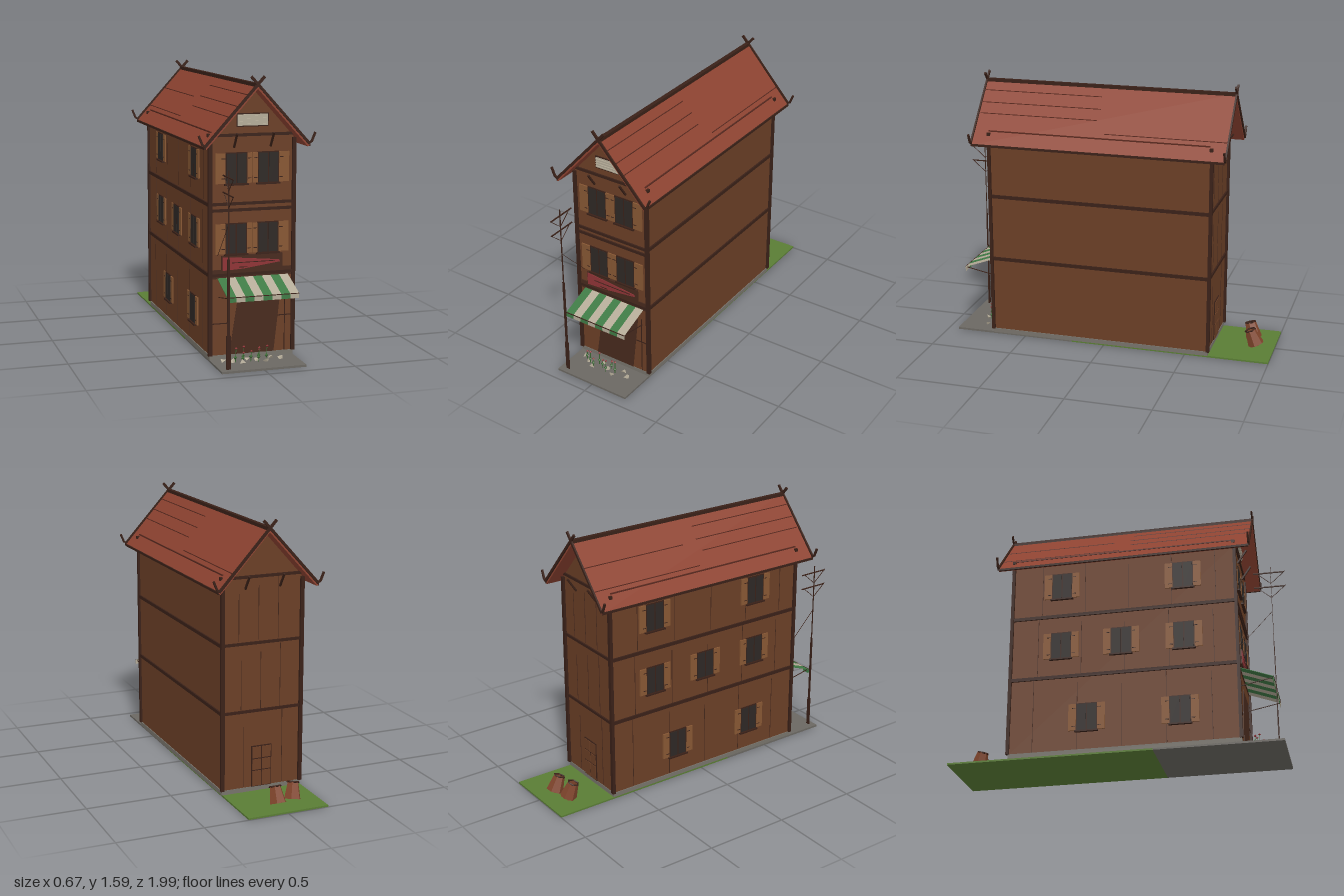
import * as THREE from 'three';

const mat = (color) => new THREE.MeshStandardMaterial({ color, flatShading: true, side: THREE.DoubleSide });
const M = {
  wall: mat(0x6b3f26), beam: mat(0x3a2118), roof: mat(0x8e4331), batten: mat(0x5a2a20), shutter: mat(0x875733),
  glass: mat(0x2e2825), stone: mat(0x77736b), grass: mat(0x5a7d35), road: mat(0x6b6862), cream: mat(0xb5ac98),
  green: mat(0x3f7a45), red: mat(0x8f3336), dark: mat(0x482a1d), leaf: mat(0x3c6a34), rust: mat(0x80452c),
};

export function createModel() {
  const root = new THREE.Group();
  root.name = 'townhouse';

  const add = (name, geo, m, parent = root) => {
    const mesh = new THREE.Mesh(geo, m);
    mesh.name = name;
    parent.add(mesh);
    return mesh;
  };
  // Box given by its extents
  const box = (name, m, x0, x1, y0, y1, z0, z1, parent = root) => {
    const b = add(name, new THREE.BoxGeometry(x1 - x0, y1 - y0, z1 - z0), m, parent);
    b.position.set((x0 + x1) / 2, (y0 + y1) / 2, (z0 + z1) / 2);
    return b;
  };
  // Straight bar between two points
  const bar = (name, m, a, b, w, d = w, parent = root) => {
    const p = new THREE.Vector3(...a), q = new THREE.Vector3(...b);
    const mesh = add(name, new THREE.BoxGeometry(w, d, p.distanceTo(q)), m, parent);
    mesh.position.copy(p).lerp(q, 0.5);
    mesh.lookAt(q);
    return mesh;
  };
  // Flat outline pushed out along z
  const plate = (name, m, pts, z0, z1, parent = root) => {
    const shape = new THREE.Shape(pts.map(([x, y]) => new THREE.Vector2(x, y)));
    const geo = new THREE.ExtrudeGeometry(shape, { depth: z1 - z0, bevelEnabled: false });
    geo.translate(0, 0, z0);
    return add(name, geo, m, parent);
  };

  // Plot of land and foundation
  box('pavement', M.road, -0.245, 0.24, 0, 0.012, 0.2, 0.935);
  box('lawn', M.grass, -0.245, 0.24, 0, 0.01, -1, 0.2);
  box('foundation', M.stone, -0.245, 0.245, 0.01, 0.036, -0.64, 0.70);

  // Walls with gables
  plate('walls', M.wall, [[-0.24, 0.035], [0.24, 0.035], [0.24, 1.245], [0, 1.513], [-0.24, 1.245]], -0.637, 0.697);

  // Corner posts and storey beams
  for (const s of [-1, 1]) {
    for (const z of [-0.64, 0.70])
      box('cornerPost', M.beam, s * 0.242 - 0.011, s * 0.242 + 0.011, 0.035, 1.24, z - 0.011, z + 0.008);
    for (const y of [0.49, 0.882])
      box('sideBeam', M.beam, s * 0.243 - 0.006, s * 0.243 + 0.006, y - 0.01, y + 0.01, -0.64, 0.70);
  }
  for (const y of [0.49, 0.85, 0.885, 1.262]) {
    box('frontBeam', M.beam, -0.24, 0.24, y - 0.008, y + 0.008, 0.69, 0.706);
    if (y !== 0.85) box('backBeam', M.beam, -0.24, 0.24, y - 0.008, y + 0.008, -0.646, -0.63);
  }
  // Plank seams on the back and the window side
  const floors = [[0.04, 0.48], [0.5, 0.87], [0.9, 1.25]];
  floors.forEach(([a, b], i) => {
    for (let k = 0; k < 3; k++) {
      const x = -0.13 + k * 0.12 + i * 0.015;
      if (i > 0 || k !== 1) box('plankSeam', M.dark, x, x + 0.003, a, b - 0.04 * k, -0.639, -0.636);
    }
    for (let k = 0; k < 5; k++) {
      const z = -0.5 + k * 0.26 + i * 0.02;
      box('plankSeam', M.dark, -0.242, -0.239, a, b - 0.03 * (k % 3), z, z + 0.003);
    }
  });

  // Roof slabs, battens, trim and finials
  const roofY = (x) => 1.54 - Math.abs(x) * 1.117;
  for (const s of [-1, 1]) {
    plate('roofSlope', M.roof, [[0, 1.54], [s * 0.3, roofY(0.3)], [s * 0.289, roofY(0.3) - 0.008], [0, 1.516]], -0.725, 0.79);
    box('eaveTrim', M.beam, s * 0.297 - 0.005, s * 0.297 + 0.005, 1.198, 1.211, -0.725, 0.79);
    for (const [x, z0, z1] of [[0.05, 0.06, 0.78], [0.105, 0.05, 0.78], [0.155, 0.06, 0.78], [0.212, -0.72, 0.0], [0.115, -0.72, -0.05]])
      if (s < 0 || x !== 0.115) bar('roofBatten', M.batten, [s * x, roofY(x), z0], [s * x, roofY(x), z1], 0.004);
    bar('gutterRail', M.batten, [s * 0.235, roofY(0.235) + 0.003, -0.63], [s * 0.235, roofY(0.235) + 0.003, 0.7], 0.007);
    for (const z of [-0.64, 0.695]) box('railHook', M.beam, s * 0.25 - 0.007, s * 0.25 + 0.007, 1.255, 1.273, z - 0.01, z + 0.01);
    for (const z of [-0.728, 0.79]) {
      bar('bargeBoard', M.beam, [-s * 0.038, 1.583, z], [s * 0.298, 1.212, z], 0.01, 0.015);
      bar('eaveHorn', M.beam, [s * 0.29, 1.212, z], [s * 0.312, 1.228, z], 0.011);
      bar('eaveHorn', M.beam, [s * 0.309, 1.222, z], [s * 0.331, 1.274, z], 0.011);
    }
    // Struts below the gables
    for (const [z, d] of [[0.70, 1], [-0.64, -1]])
      bar('gableStrut', M.beam, [s * 0.105, 1.195, z], [s * 0.105, 1.275, z + d * 0.055], 0.01);
  }
  box('ridgeCap', M.beam, -0.012, 0.012, 1.526, 1.546, -0.73, 0.795);

  // Gable vent
  box('ventFrame', M.beam, -0.092, 0.092, 1.306, 1.38, 0.695, 0.703);
  box('ventPanel', M.cream, -0.086, 0.086, 1.312, 1.374, 0.70, 0.706);
  for (let i = 0; i < 4; i++) box('ventSlat', M.cream, -0.086, 0.086, 1.317 + i * 0.015, 1.322 + i * 0.015, 0.705, 0.711);

  // Window in its own plane; l and r are the shutter widths
  const windowUnit = (h, l, r) => {
    const g = new THREE.Group();
    g.name = 'window';
    const t = h / 2;
    box('frame', M.beam, -0.062, 0.062, -t, t, 0, 0.006, g);
    for (const s of [-1, 1]) {
      box('pane', M.glass, s * 0.03 - 0.026, s * 0.03 + 0.026, -t + 0.006, t - 0.006, 0.003, 0.008, g);
      const w = s < 0 ? l : r, x = s * (0.062 + w / 2);
      box('shutter', M.shutter, x - w / 2, x + w / 2, -t + 0.005, t - 0.003, 0, 0.008, g);
      for (const y of [-0.055, 0.055]) box('hinge', M.beam, s * 0.075 - 0.01, s * 0.075 + 0.01, y - 0.002, y + 0.002, 0.007, 0.01, g);
    }
    box('sill', M.beam, -0.068, 0.068, -t - 0.006, -t + 0.003, 0, 0.016, g);
    root.add(g);
    return g;
  };
  for (const y of [0.69, 1.08]) {
    windowUnit(0.175, 0.058, 0.028).position.set(-0.092, y, 0.697);
    windowUnit(0.175, 0.028, 0.058).position.set(0.092, y, 0.697);
  }
  for (const [z, y] of [[-0.34, 1.08], [0.39, 1.08], [-0.34, 0.69], [0.02, 0.69], [0.39, 0.69], [-0.18, 0.23], [0.36, 0.23]]) {
    const w = windowUnit(0.17, 0.045, 0.045);
    w.position.set(-0.24, y, z);
    w.rotation.y = -Math.PI / 2;
  }

  // Shop front: entrance, side panels and sign
  plate('entrance', M.dark, [[-0.13, 0.036], [0.13, 0.036], [0.17, 0.39], [-0.075, 0.39]], 0.697, 0.70);
  box('shopLintel', M.dark, -0.23, 0.23, 0.47, 0.52, 0.697, 0.703);
  box('panelSeam', M.beam, -0.23, -0.13, 0.213, 0.218, 0.697, 0.701);
  box('panelSeam', M.beam, 0.155, 0.23, 0.238, 0.243, 0.697, 0.701);
  box('panelSeam', M.beam, 0.192, 0.196, 0.036, 0.4, 0.697, 0.701);
  box('signBoard', M.dark, -0.178, 0.175, 0.508, 0.598, 0.697, 0.71);
  plate('signPennant', M.red, [[-0.172, 0.516], [-0.05, 0.523], [0.16, 0.55], [0.155, 0.562], [-0.05, 0.582], [-0.172, 0.592]], 0.709, 0.714);
  box('signStripe', M.beam, -0.12, 0.13, 0.556, 0.56, 0.713, 0.716);
  box('signStripe', M.beam, -0.08, -0.03, 0.53, 0.534, 0.713, 0.716);

  // Striped awning with a valance
  for (let i = 0; i < 8; i++) {
    const x = -0.2 + i * 0.0513 + 0.0256, m = i % 2 ? M.cream : M.green;
    bar('awningStripe', m, [x, 0.474, 0.70], [x, 0.405, 0.885], 0.0513, 0.003);
    box('awningValance', m, x - 0.0256, x + 0.0256, 0.378, 0.405, 0.884, 0.887);
  }
  for (const x of [-0.19, 0.2]) bar('awningArm', M.beam, [x, 0.365, 0.70], [x, 0.4, 0.88], 0.004);
  bar('awningRod', M.beam, [-0.2, 0.405, 0.887], [0.21, 0.405, 0.887], 0.004);

  // Back door
  box('backDoorFrame', M.beam, -0.062, 0.062, 0.036, 0.28, -0.642, -0.636);
  for (const s of [-1, 1])
    for (const [a, b] of [[0.04, 0.13], [0.137, 0.2], [0.207, 0.274]])
      box('backDoorPanel', M.wall, s * 0.03 - 0.027, s * 0.03 + 0.027, a, b, -0.645, -0.638);

  // Wire pole with cross arms
  const px = -0.198, pz = 0.9;
  box('poleBase', M.beam, px - 0.012, px + 0.012, 0.01, 0.2, pz - 0.003, pz + 0.003);
  box('poleShaft', M.beam, px - 0.008, px + 0.008, 0.2, 0.62, pz - 0.002, pz + 0.002);
  box('poleTop', M.beam, px - 0.004, px + 0.004, 0.62, 1.1, pz - 0.001, pz + 0.001);
  for (const y of [0.968, 1.06]) {
    bar('crossArm', M.beam, [px, y, 0.8], [px, y, 0.98], 0.006);
    bar('armBrace', M.beam, [px, y - 0.07, pz], [px, y + 0.005, 0.985], 0.003);
    bar('armBrace', M.beam, [px, y - 0.07, pz], [px, y, 0.82], 0.003);
  }
  bar('poleWire', M.beam, [px, 0.81, pz], [px, 0.6, 0.70], 0.002);

  // Flowers and pale stones before the shop
  for (let i = 0; i < 8; i++) {
    const x = -0.16 + i * 0.03 + (i % 3) * 0.008, z = 0.765 + (i % 3) * 0.02, h = 0.07 + (i % 2) * 0.022;
    bar('flowerStem', M.leaf, [x, 0.01, z], [x + 0.004, h, z], 0.003);
    add('flowerBloom', new THREE.OctahedronGeometry(0.008), M.red).position.set(x + 0.004, h, z);
    add('flowerLeaf', new THREE.OctahedronGeometry(0.011), M.leaf).position.set(x, 0.04, z);
    const stone = add('paleStone', new THREE.TetrahedronGeometry(0.022), M.cream);
    stone.position.set(-0.18 + i * 0.046, 0.018, 0.75 + (i % 3) * 0.03);
    stone.rotation.set(i, i * 2, 0);
    stone.scale.y = 0.6;
  }

  // Two tilted open tubs on the lawn
  for (const [x, z, turn] of [[-0.1, -0.845, 0.5], [0.012, -0.87, 1.6]]) {
    const tub = new THREE.Group();
    tub.name = 'openTub';
    add('tubSide', new THREE.CylinderGeometry(0.032, 0.05, 0.095, 6, 1, true), M.rust, tub);
    add('tubFloor', new THREE.CircleGeometry(0.05, 6).rotateX(-Math.PI / 2), M.rust, tub).position.y = -0.047;
    add('tubRim', new THREE.TorusGeometry(0.032, 0.005, 4, 6).rotateX(Math.PI / 2), M.beam, tub).position.y = 0.047;
    tub.position.set(x, 0.064, z);
    tub.rotation.set(0.2, turn, 0.2);
    root.add(tub);
  }
  return root;
}
